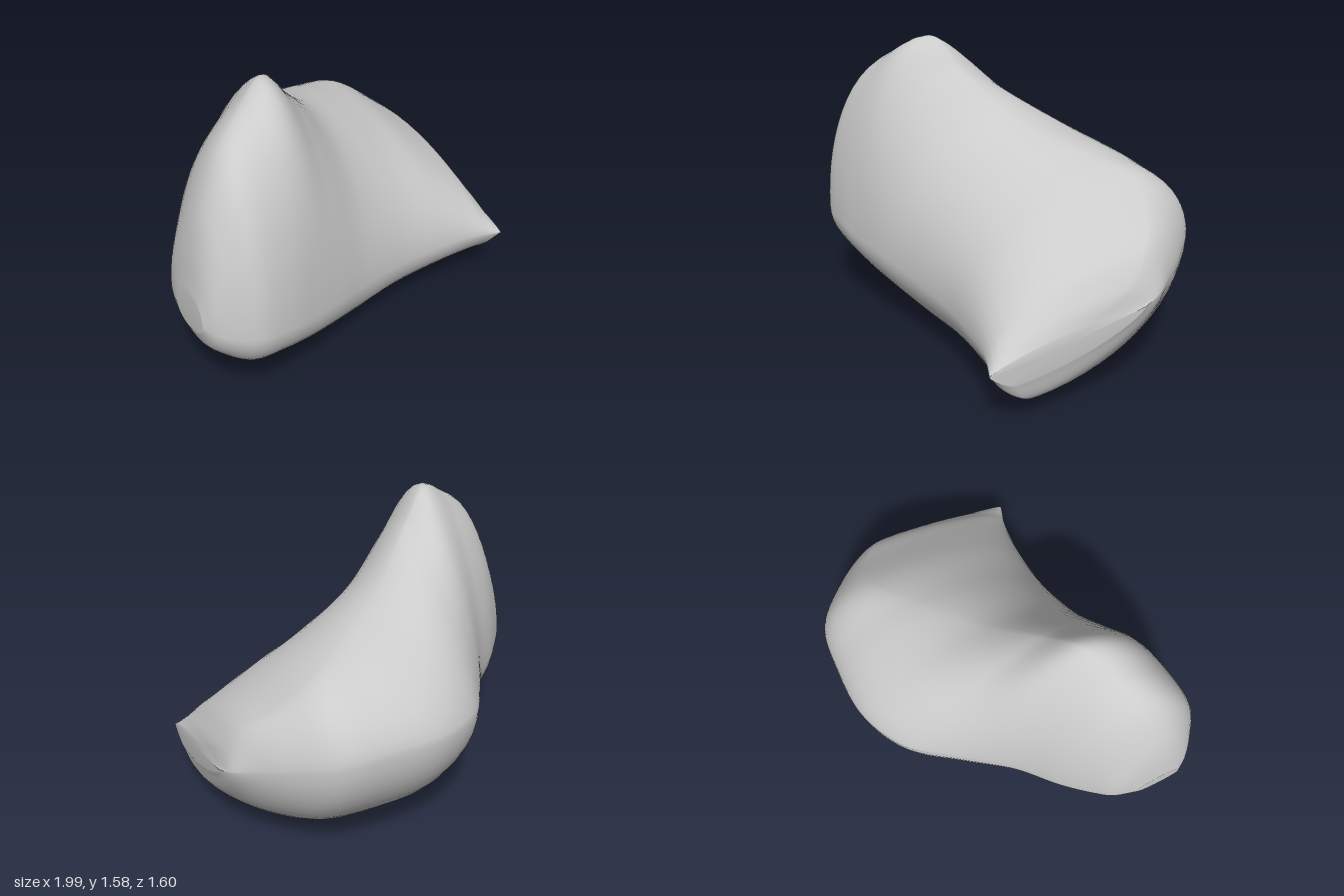
import * as THREE from 'three';

// Stations along x: [x, topY, topZ, frontY, frontZ, bottomY, bottomZ, backY, backZ]
const stations = [
  [-1.0, 0.72, 0.50, 0.60, 0.62, 0.52, 0.48, 0.60, 0.37],
  [-0.96, 0.96, 0.49, 0.58, 0.68, 0.43, 0.50, 0.60, 0.24],
  [-0.9, 1.16, 0.48, 0.56, 0.73, 0.36, 0.48, 0.58, 0.16],
  [-0.78, 1.37, 0.44, 0.55, 0.795, 0.265, 0.45, 0.58, 0.02],
  [-0.6, 1.50, 0.35, 0.52, 0.78, 0.21, 0.38, 0.60, -0.16],
  [-0.43, 1.58, 0.26, 0.48, 0.73, 0.145, 0.30, 0.65, -0.41],
  [-0.25, 1.41, 0.16, 0.45, 0.67, 0.08, 0.20, 0.67, -0.65],
  [0.0, 1.20, -0.03, 0.40, 0.58, 0.01, 0.08, 0.68, -0.78],
  [0.3, 1.08, -0.25, 0.36, 0.505, 0.005, 0.02, 0.68, -0.80],
  [0.55, 0.985, -0.43, 0.34, 0.485, 0.025, 0.03, 0.66, -0.77],
  [0.75, 0.84, -0.40, 0.33, 0.49, 0.055, 0.12, 0.61, -0.61],
  [0.88, 0.73, -0.31, 0.32, 0.51, 0.09, 0.23, 0.56, -0.46],
  [0.95, 0.61, -0.21, 0.315, 0.53, 0.13, 0.34, 0.53, -0.37],
  [0.985, 0.45, 0.06, 0.31, 0.54, 0.24, 0.42, 0.50, -0.27],
];

const RINGS = 105;
const QUARTER = 14;
const SIDES = QUARTER * 4;

// Smooth rail running lengthwise through one extreme of every station
function rail(column) {
  return new THREE.CatmullRomCurve3(
    stations.map((s) => new THREE.Vector3(s[0], s[column], s[column + 1])));
}

// Roundness of the four quarters: slimmer behind the peak, pinched at the +x corner
function roundness(quarter, u) {
  const pinch = THREE.MathUtils.smoothstep(u, 0.68, 1);
  const peak = Math.exp(-(((u - 0.42) / 0.13) ** 2));
  const body = [1.95, 1.95, 1.9, 1.85 - 0.6 * peak][quarter];
  const corner = [1.25, 1.3, 1.4, 1.6][quarter];
  return THREE.MathUtils.lerp(body, corner, pinch);
}

// Point between a crest/keel point and a side point on a superellipse arc
function arcPoint(crest, side, angle, power) {
  const s = Math.pow(Math.max(0, Math.sin(angle)), 2 / power);
  const c = Math.pow(Math.max(0, Math.cos(angle)), 2 / power);
  return [
    THREE.MathUtils.lerp(crest.x, side.x, Math.sin(angle) ** 2),
    side.y + (crest.y - side.y) * c,
    crest.z + (side.z - crest.z) * s,
  ];
}

function cushionGeometry() {
  const rails = [1, 3, 5, 7].map(rail); // top, front, bottom, back
  const positions = [];
  const indices = [];

  for (let i = 0; i < RINGS; i++) {
    const u = i / (RINGS - 1);
    const p = rails.map((r) => r.getPoint(u));
    for (let j = 0; j < SIDES; j++) {
      const q = Math.floor(j / QUARTER);
      const a = ((j % QUARTER) / QUARTER) * Math.PI / 2;
      const next = p[(q + 1) % 4];
      positions.push(...(q % 2 === 0
        ? arcPoint(p[q], next, a, roundness(q, u))
        : arcPoint(next, p[q], Math.PI / 2 - a, roundness(q, u))));
    }
  }

  // Skin between neighbouring rings
  for (let i = 0; i < RINGS - 1; i++) {
    for (let j = 0; j < SIDES; j++) {
      const k = (j + 1) % SIDES;
      const a = i * SIDES + j, b = i * SIDES + k;
      indices.push(a, b, a + SIDES, b, b + SIDES, a + SIDES);
    }
  }

  // End caps
  const leftCap = positions.length / 3;
  positions.push(-1.0, 0.61, 0.49, 0.99, 0.38, 0.2);
  const lastRing = (RINGS - 1) * SIDES;
  for (let j = 0; j < SIDES; j++) {
    const k = (j + 1) % SIDES;
    indices.push(leftCap, k, j, leftCap + 1, lastRing + j, lastRing + k);
  }

  const geometry = new THREE.BufferGeometry();
  geometry.setAttribute('position', new THREE.Float32BufferAttribute(positions, 3));
  geometry.setIndex(indices);
  geometry.computeVertexNormals();
  return geometry;
}

export function createModel() {
  const group = new THREE.Group();
  group.name = 'pillow';
  const cushion = new THREE.Mesh(
    cushionGeometry(), new THREE.MeshStandardMaterial({ color: 0xcccccc }));
  cushion.name = 'cushion';
  group.add(cushion);
  return group;
}
